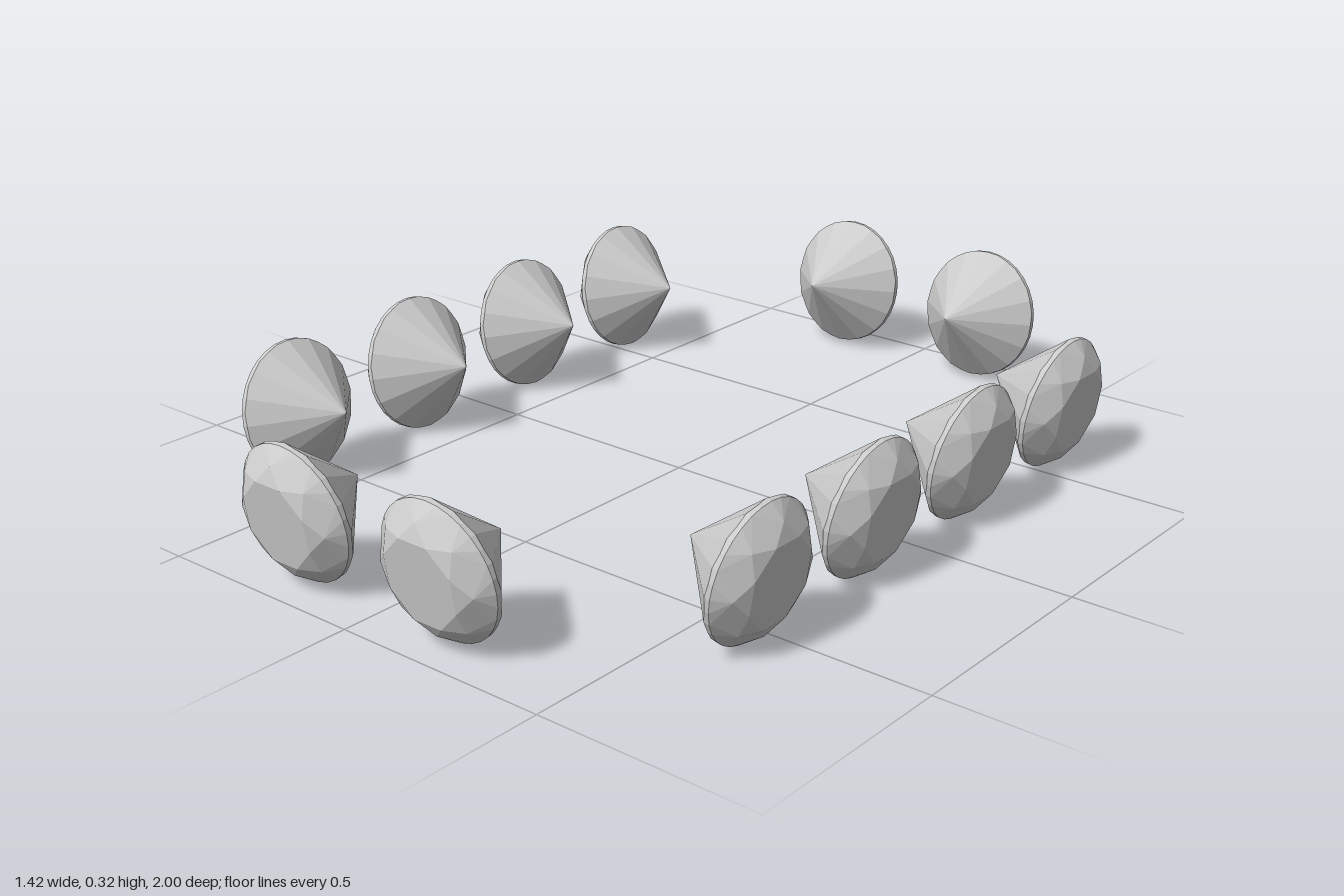
import * as THREE from 'three';

const STEP = Math.PI / 16; // 32 girdle points, four to a crown sector
const CULET = -0.162;

// Cut stone facing +z: table, star facets, kites, upper facets, girdle, pavilion
function gemGeometry() {
  const pos = [];
  const tri = (...pts) => pts.forEach((p) => pos.push(...p));
  const ring = (r, i, z) => [r * 0.965 * Math.sin(-i * STEP), r * Math.cos(i * STEP), z];
  const R = 0.154;
  const tableAt = (i) => ring(0.097, i, 0.056);
  const starAt = (i) => ring(0.126, i, 0.039);
  const upper = (i) => ring(R, i, 0.006);
  // scalloped lower girdle keeps each of the 16 pavilion facets flat
  const lower = (i) => {
    const c = i % 2 === 0 ? Math.cos(STEP) : 1;
    return ring(R, i, CULET + 0.158 * c);
  };
  const culet = [0, 0, CULET];
  for (let k = 0; k < 8; k++) {
    const i = k * 4; // middle of this sector
    const star = starAt(i);
    const t0 = tableAt(i - 2), t1 = tableAt(i + 2);
    tri([0, 0, 0.056], t0, t1);
    tri(t0, star, t1);
    tri(t0, upper(i - 2), star);
    tri(t1, star, upper(i + 2));
    for (let j = i - 2; j < i + 2; j++) {
      tri(star, upper(j), upper(j + 1));
      tri(upper(j), lower(j), lower(j + 1));
      tri(upper(j), lower(j + 1), upper(j + 1));
      tri(culet, lower(j + 1), lower(j));
    }
  }
  const geo = new THREE.BufferGeometry();
  geo.setAttribute('position', new THREE.Float32BufferAttribute(pos, 3));
  geo.computeVertexNormals();
  return geo;
}

export function createModel() {
  const model = new THREE.Group();
  model.name = 'gemstones';
  const geo = gemGeometry();
  const mat = new THREE.MeshStandardMaterial({ color: 0xcccccc, flatShading: true });

  // Every stone faces outward and tips slightly downward
  const addGem = (name, x, y, z, turn) => {
    const gem = new THREE.Mesh(geo, mat);
    gem.name = name;
    gem.position.set(x, y, z);
    gem.rotation.set(0.163, turn, 0, 'YXZ');
    model.add(gem);
  };

  // Four stones along each side
  [-0.548, -0.182, 0.182, 0.548].forEach((z, i) => {
    addGem(`leftGem${i + 1}`, 0.64, 0.153, z, Math.PI / 2);
    addGem(`rightGem${i + 1}`, -0.64, 0.153, z, -Math.PI / 2);
  });

  // Two stones at each end
  [-0.199, 0.199].forEach((x, i) => {
    addGem(`frontGem${i + 1}`, x, 0.162, 0.93, 0);
    addGem(`backGem${i + 1}`, x, 0.162, -0.93, Math.PI);
  });
  return model;
}
